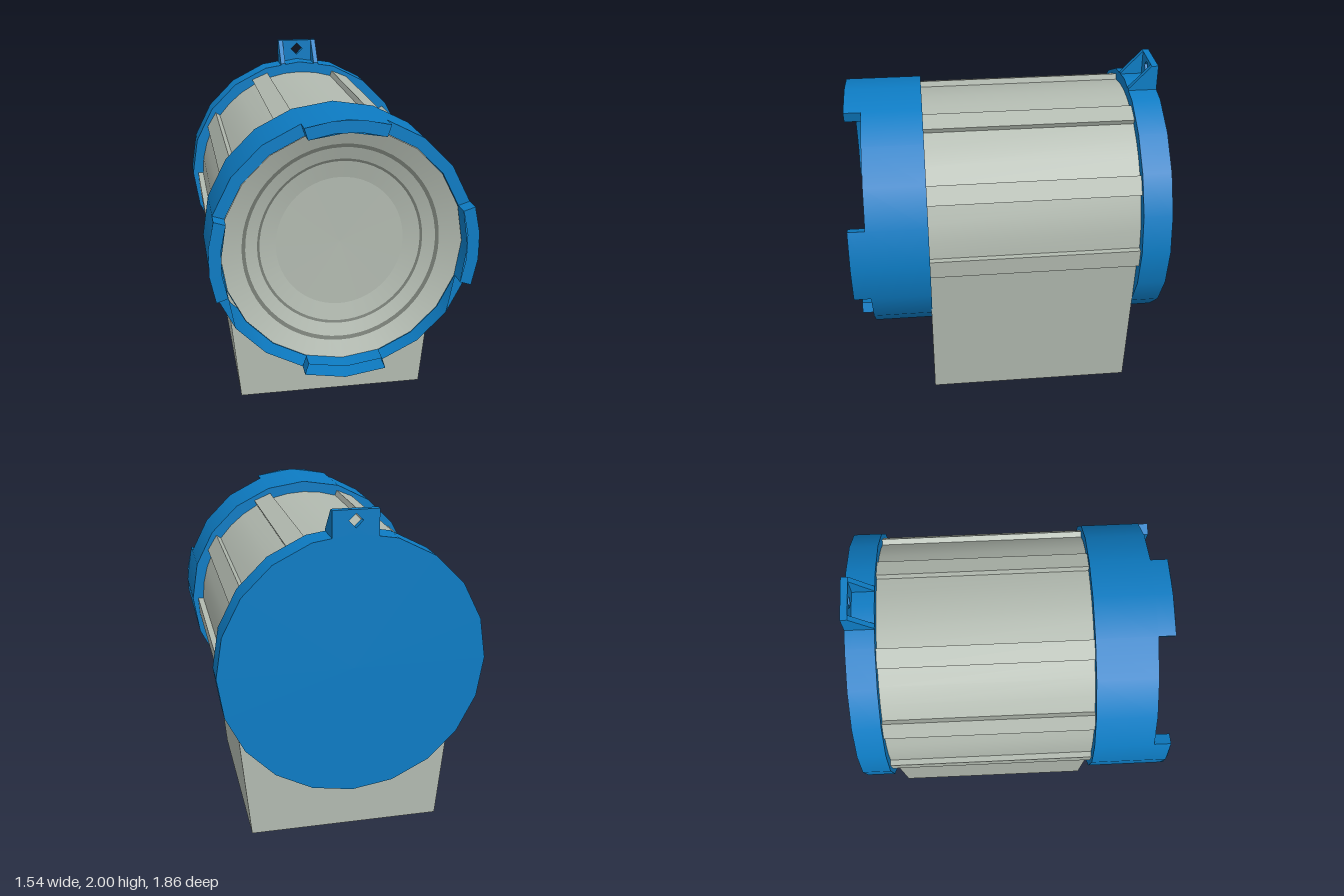
import * as THREE from 'three';
import { toCreasedNormals } from 'three/addons/utils/BufferGeometryUtils.js';

const CY = 1.1, R = 0.77, RI = 0.7;        // axis height, collar outer and inner radius
const rad = THREE.MathUtils.degToRad;

export function createModel() {
  const model = new THREE.Group();
  const mat = (name, color) => {
    const m = new THREE.MeshStandardMaterial({ color, side: THREE.DoubleSide });
    m.name = name;
    return m;
  };
  const blue = mat('blue', 0x0d7cc4), grey = mat('warm grey', 0xb2bab0), dark = mat('groove grey', 0x757b73);

  const add = (name, geometry, material, parent = model) => {
    const mesh = new THREE.Mesh(geometry, material);
    mesh.name = name;
    parent.add(mesh);
    return mesh;
  };
  // Open wall around the z axis; angles in degrees, counted from straight down
  const wall = (r, z0, z1, start = 0, len = 360) =>
    new THREE.CylinderGeometry(r, r, z1 - z0, len / 18, 1, true, rad(start), rad(len))
      .rotateX(Math.PI / 2).translate(0, 0, (z0 + z1) / 2);
  const annulus = (z, start = 0, len = 360) =>
    new THREE.RingGeometry(RI, R, Math.round(len / 18), 1, rad(start - 90), rad(len)).translate(0, 0, z);
  const polar = (r, deg) => new THREE.Vector2(r * Math.sin(rad(deg)), r * Math.cos(rad(deg)));

  // Body: round barrel with raised ribs, running down into a tapered foot
  const half = [];
  for (let a = 0; a <= 99; a += 9) {
    const ribStart = a % 36 === 18, ribEnd = a % 36 === 27;
    if (ribStart) half.push(polar(0.7, a), polar(0.735, a));
    else if (ribEnd) half.push(polar(0.735, a), polar(0.7, a));
    else half.push(polar(0.7, a));
  }
  half.push(new THREE.Vector2(0.672, -0.125), new THREE.Vector2(0.575, -CY));
  const mirrored = half.slice(1).reverse().map(p => new THREE.Vector2(-p.x, p.y));
  const bodyGeo = new THREE.ExtrudeGeometry(new THREE.Shape([...half, ...mirrored]), { depth: 1.24, bevelEnabled: false });
  add('body', toCreasedNormals(bodyGeo.translate(0, CY, -0.76), 0.3), grey);

  // Everything below is centred on the barrel axis
  const axis = new THREE.Group();
  axis.name = 'axisParts';
  axis.position.y = CY;
  model.add(axis);

  // Back cap
  add('backCap', new THREE.CylinderGeometry(R, R, 0.17, 20).rotateX(Math.PI / 2).translate(0, 0, -0.845), blue, axis);

  // Front collar, with its front face open above the foot
  const collar = new THREE.Group();
  collar.name = 'frontCollar';
  axis.add(collar);
  add('collarOuterWall', wall(R, 0.475, 0.83), blue, collar);
  add('collarInnerWall', wall(RI, 0.475, 0.83), blue, collar);
  add('collarBack', annulus(0.475).rotateY(Math.PI).translate(0, 0, 0.95), blue, collar);
  add('collarFront', annulus(0.83, 72, 216), blue, collar);
  for (const s of [-1, 1]) {
    const p = [polar(RI, 108), polar(R, 126), polar(R, 108)].map(v => new THREE.Vector2(s * v.x, v.y));
    add('collarFrontEnd', new THREE.ShapeGeometry(new THREE.Shape(p)).translate(0, 0, 0.83), blue, collar);
  }

  // Four tabs on the collar; the lowest has no front face
  for (let i = 0; i < 4; i++) {
    const start = i * 90 - 18;
    const tab = new THREE.Group();
    tab.name = 'collarTab';
    collar.add(tab);
    add('tabOuterWall', wall(R, 0.83, 0.93, start, 36), blue, tab);
    add('tabInnerWall', wall(RI, 0.83, 0.93, start, 36), blue, tab);
    if (i > 0) add('tabFront', annulus(0.93, start, 36), blue, tab);
    for (const a of [start, start + 36]) {
      const end = new THREE.PlaneGeometry(R - RI, 0.1).rotateX(Math.PI / 2).translate((R + RI) / 2, 0, 0.88);
      add('tabEnd', end.rotateZ(rad(a - 90)), blue, tab);
    }
  }

  // Shallow front dish: many-sided rim blending into slightly narrow rings
  const dishBand = (name, points, material) => {
    const geo = new THREE.LatheGeometry(points.map(p => new THREE.Vector2(...p)), 60).rotateX(Math.PI / 2);
    const pos = geo.attributes.position;
    for (let i = 0; i < pos.count; i++) {
      const x = pos.getX(i), y = pos.getY(i);
      if (Math.hypot(x, y) > 0.65) {
        const t = ((Math.atan2(y, x) + 2 * Math.PI) % rad(18)) - rad(9);
        const k = Math.cos(rad(9)) / Math.cos(t);
        pos.setXY(i, x * k, y * k);
      } else pos.setX(i, x * 0.955);
    }
    add(name, geo, material, axis);
  };
  dishBand('dishRim', [[0.697, 0.825], [0.6, 0.785]], grey);
  dishBand('outerGroove', [[0.6, 0.785], [0.578, 0.778]], dark);
  dishBand('dishMiddle', [[0.578, 0.778], [0.505, 0.752]], grey);
  dishBand('innerGroove', [[0.505, 0.752], [0.49, 0.747]], dark);
  dishBand('dishInner', [[0.49, 0.747], [0.39, 0.725]], grey);
  dishBand('dishCentre', [[0.39, 0.725], [0, 0.72]], grey);

  // Hanging lug: plate with a diamond hole and two sloping gussets
  const lug = new THREE.Group();
  lug.name = 'hangingLug';
  model.add(lug);
  const plate = new THREE.Shape([[-0.13, 1.82], [0.13, 1.82], [0.13, 2], [-0.13, 2]].map(p => new THREE.Vector2(...p)));
  plate.holes.push(new THREE.Path([[0, 1.9], [-0.04, 1.94], [0, 1.98], [0.04, 1.94]].map(p => new THREE.Vector2(...p))));
  add('lugPlate', new THREE.ExtrudeGeometry(plate, { depth: 0.04, bevelEnabled: false }).translate(0, 0, -0.93), blue, lug);
  const gusset = new THREE.Shape([[0.89, 1.82], [0.76, 1.82], [0.76, 1.86], [0.89, 2]].map(p => new THREE.Vector2(...p)));
  for (const x of [-0.13, 0.1]) {
    const geo = new THREE.ExtrudeGeometry(gusset, { depth: 0.03, bevelEnabled: false });
    add('lugGusset', geo.rotateY(Math.PI / 2).translate(x, 0, 0), blue, lug);
  }
  return model;
}
